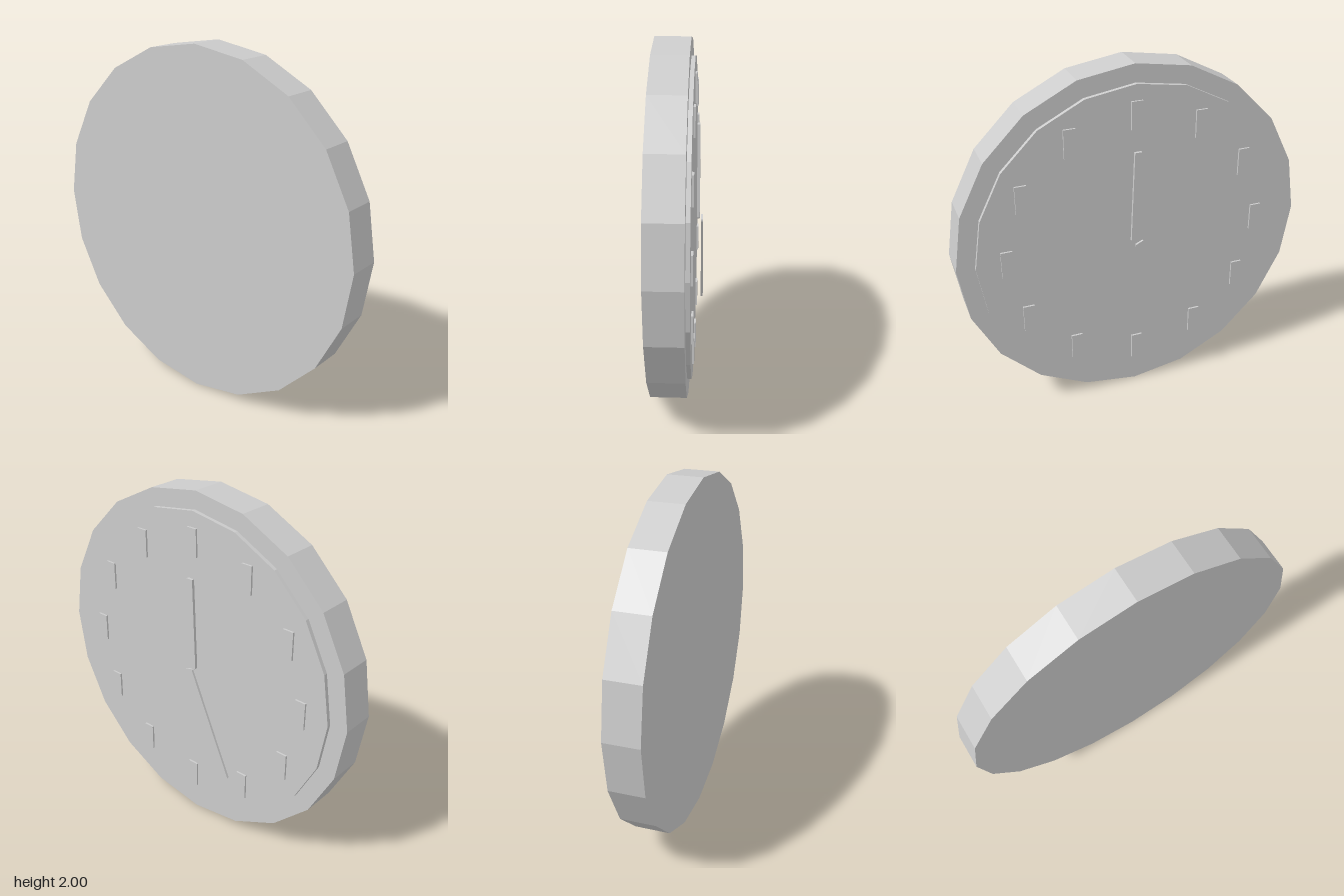
import * as THREE from 'three';

const material = new THREE.MeshStandardMaterial({ color: 0xcccccc, flatShading: true });

// Every part is built facing +z around the dial centre; the whole dial is then turned to face +x.
function addPart(parent, name, geometry, x = 0, y = 0, z = 0) {
  const mesh = new THREE.Mesh(geometry, material);
  mesh.name = name;
  mesh.position.set(x, y, z);
  parent.add(mesh);
  return mesh;
}

// Twenty-sided disc between two depths
function disc(radius, back, front) {
  return new THREE.CylinderGeometry(radius, radius, front - back, 20)
    .rotateX(Math.PI / 2)
    .translate(0, 0, (back + front) / 2);
}

// Tapered hand with slightly clipped corners at the pivot end
function hand(length, baseHalf, tipHalf, depth) {
  const shape = new THREE.Shape([
    [-baseHalf * 0.8, 0], [baseHalf * 0.8, 0], [baseHalf, 0.01],
    [tipHalf, length], [-tipHalf, length], [-baseHalf, 0.01],
  ].map(([x, y]) => new THREE.Vector2(x, y)));
  return new THREE.ExtrudeGeometry(shape, { depth, bevelEnabled: false });
}

export function createModel() {
  const model = new THREE.Group();
  model.name = 'wallClock';

  const dial = new THREE.Group();
  dial.name = 'dial';
  dial.position.y = 1;
  dial.rotation.y = Math.PI / 2;
  model.add(dial);

  // Case and raised face
  addPart(dial, 'case', disc(1, -0.132, 0.063));
  addPart(dial, 'face', disc(0.9, 0.05, 0.085));

  // Twelve upright hour markers
  const markers = new THREE.Group();
  markers.name = 'hourMarkers';
  dial.add(markers);
  const markerGeometry = new THREE.BoxGeometry(0.064, 0.157, 0.02);
  for (let i = 0; i < 12; i++) {
    const a = (i * Math.PI) / 6;
    addPart(markers, 'hourMarker', markerGeometry, Math.sin(a) * 0.734, Math.cos(a) * 0.734, 0.086);
  }

  // Hands, standing just clear of the face
  addPart(dial, 'hourHand', hand(0.535, 0.04, 0.02, 0.016), 0, 0, 0.098);
  const minuteHand = addPart(dial, 'minuteHand', hand(0.672, 0.028, 0.02, 0.012), 0, 0, 0.12);
  minuteHand.rotation.z = Math.atan2(-0.281, -0.61);

  return model;
}
